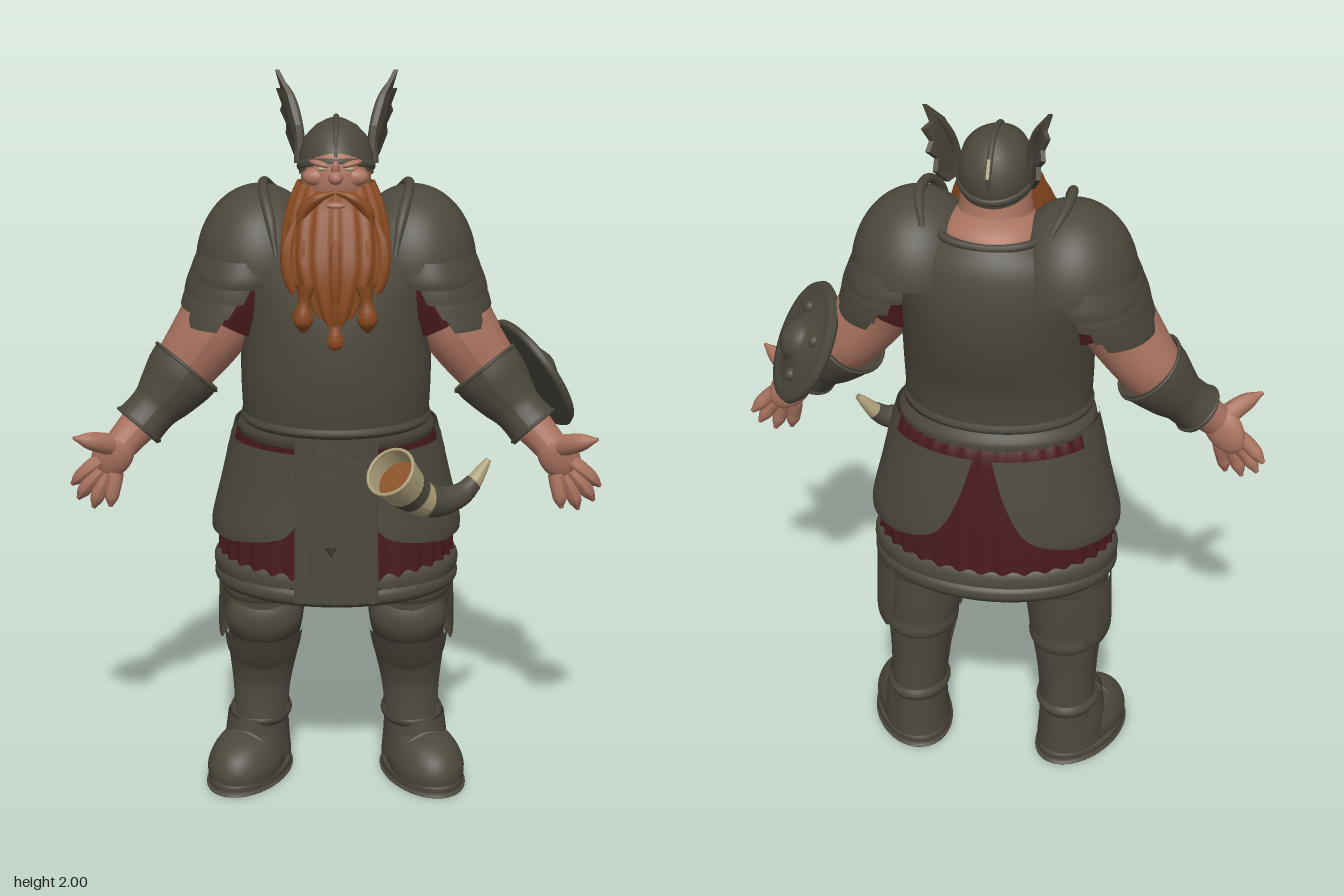
import * as THREE from 'three';

const mat = (name, color) => {
  const m = new THREE.MeshStandardMaterial({ color, side: THREE.DoubleSide });
  m.name = name;
  return m;
};
const V = (p) => new THREE.Vector3(...p);

export function createModel() {
  const armour = mat('armour grey', 0x4c483d), cloth = mat('dark red cloth', 0x491a1c);
  const skin = mat('skin', 0xaa7360), hair = mat('ginger hair', 0x86481f);
  const bone = mat('horn bone', 0xada07a), inner = mat('horn inside', 0x8a5128);
  const model = new THREE.Group();
  model.name = 'warrior';

  const add = (parent, name, geo, m) => {
    const mesh = new THREE.Mesh(geo, m);
    mesh.name = name;
    parent.add(mesh);
    return mesh;
  };

  // Smooth value between rows of numbers, u in 0..1
  const sample = (rows, u) => {
    const f = u * (rows.length - 1), i = Math.min(Math.floor(f), rows.length - 2), t = f - i;
    const row = (k) => rows[Math.max(0, Math.min(rows.length - 1, k))];
    return row(i).map((b, k) => {
      const a = row(i - 1)[k], c = row(i + 1)[k], d = row(i + 2)[k];
      return b + 0.5 * t * (c - a + t * (2 * a - 5 * b + 4 * c - d + t * (3 * (b - c) + d - a)));
    });
  };

  // Shell from oval rings, bottom to top: [y, rx, zFront, zBack, cx, angleStart, angleEnd]
  const loft = (rings, { ripple = 0, waves = 0, seg = 64, rows = 24 } = {}) => {
    const open = rings[0].length > 5, cols = open ? seg + 1 : seg, pos = [], idx = [];
    for (let i = 0; i <= rows; i++) {
      const [y, rx, zf, zb, cx = 0, t0 = 0, t1 = 2 * Math.PI] = sample(rings, i / rows);
      for (let j = 0; j < cols; j++) {
        const t = t0 + (t1 - t0) * j / seg, k = 1 + ripple * Math.cos(t * waves);
        pos.push(cx + Math.max(rx, 0) * k * Math.sin(t), y, (zf + zb) / 2 + (zf - zb) / 2 * k * Math.cos(t));
        if (i < rows && j < seg) {
          const a = i * cols + j, b = i * cols + (j + 1) % cols;
          idx.push(a, b, a + cols, b, b + cols, a + cols);
        }
      }
    }
    const g = new THREE.BufferGeometry();
    g.setAttribute('position', new THREE.Float32BufferAttribute(pos, 3));
    g.setIndex(idx);
    g.computeVertexNormals();
    return g;
  };

  // Tube along a smooth path with changing radius
  const sweep = (pts, radii, n = 24, m = 16) => {
    const curve = new THREE.CatmullRomCurve3(pts.map(V));
    const g = new THREE.TubeGeometry(curve, n, 1, m), p = g.attributes.position, v = new THREE.Vector3();
    const rr = radii.map((r) => [r]);
    for (let i = 0; i < p.count; i++) {
      const u = Math.floor(i / (m + 1)) / n, c = curve.getPointAt(u);
      v.fromBufferAttribute(p, i).sub(c).multiplyScalar(Math.max(sample(rr, u)[0], 0.0005)).add(c);
      p.setXYZ(i, v.x, v.y, v.z);
    }
    g.computeVertexNormals();
    return g;
  };

  const ball = (parent, name, m, at, size, rot = [0, 0, 0]) => {
    const mesh = add(parent, name, new THREE.SphereGeometry(1, 28, 18), m);
    mesh.position.set(...at);
    mesh.scale.set(...size);
    mesh.rotation.set(...rot);
    return mesh;
  };

  // Breastplate with lip
  add(model, 'breastplate', loft([[1.09, .25, .18, -.21], [1.2, .255, .195, -.225], [1.3, .255, .198, -.255],
    [1.4, .258, .19, -.275], [1.5, .268, .165, -.277], [1.59, .235, .125, -.258], [1.65, .155, .09, -.215]]), armour);
  add(model, 'breastplateLip', loft([[1.082, .25, .175, -.21], [1.095, .257, .187, -.217], [1.112, .252, .183, -.212]]), armour);
  add(model, 'backNeckline', sweep([[.15, 1.65, -.1], [.11, 1.645, -.19], [0, 1.64, -.22], [-.11, 1.645, -.19], [-.15, 1.65, -.1]],
    [.009, .01, .01, .01, .009], 32, 10), armour);

  // Skirt, hem, lining and front panel
  add(model, 'skirt', loft([[.625, .327, .172, -.29], [.8, .315, .16, -.275], [.9, .295, .152, -.262], [1.02, .272, .15, -.245],
    [1.08, .25, .16, -.215]], { ripple: .012, waves: 34, seg: 204 }), cloth);
  add(model, 'skirtHem', loft([[.6, .326, .17, -.293], [.615, .336, .181, -.303], [.635, .335, .181, -.302], [.65, .324, .17, -.288]]), armour);
  add(model, 'skirtLining', loft([[.61, .325, .17, -.292], [.7, .31, .15, -.27], [.72, 0, -.05, -.06]]), armour);
  add(model, 'waistBelt', loft([[1.045, .264, .163, -.236], [1.065, .267, .17, -.235], [1.09, .255, .17, -.22]]), armour);
  add(model, 'frontPanel', loft([[.615, .34, .187, -.3, 0, -.33, .35], [.85, .325, .18, -.28, 0, -.34, .36],
    [1.08, .28, .175, -.24, 0, -.4, .42]], { ripple: .012, waves: 40 }), armour);
  const strap = add(model, 'beltTail', new THREE.BoxGeometry(.04, .2, .012), armour);
  strap.position.set(-.01, .88, .182);
  const tip = add(model, 'beltTailTip', new THREE.CylinderGeometry(.02, .001, .03, 4), armour);
  tip.position.set(-.01, .766, .184);
  tip.scale.z = .4;
  const buckle = add(model, 'beltKnot', new THREE.BoxGeometry(.13, .05, .03), armour);
  buckle.position.set(0, 1.02, .176);
  buckle.rotation.z = -.45;

  // Neck and head
  ball(model, 'shoulderSkin', skin, [0, 1.62, -.09], [.145, .075, .125]);
  add(model, 'neck', loft([[1.58, .11, .02, -.18], [1.68, .095, .03, -.15], [1.78, .086, .03, -.13]]), skin);
  ball(model, 'head', skin, [0, 1.75, -.025], [.092, .12, .11]);
  ball(model, 'nose', skin, [0, 1.768, .088], [.02, .018, .022]);
  ball(model, 'noseBridge', skin, [0, 1.787, .08], [.012, .026, .014], [.3, 0, 0]);
  ball(model, 'lowerLip', skin, [0, 1.7, .108], [.026, .008, .012]);
  for (const s of [-1, 1]) {
    ball(model, 'cheek', skin, [s * .05, 1.762, .05], [.036, .024, .024]);
    ball(model, 'eye', bone, [s * .036, 1.789, .074], [.012, .006, .007]);
    ball(model, 'browRidge', skin, [s * .042, 1.802, .071], [.028, .008, .011], [0, s * .35, s * .2]);
    add(model, 'moustache', sweep([[s * .004, 1.732, .1], [s * .04, 1.722, .108], [s * .078, 1.69, .1], [s * .1, 1.63, .105]],
      [.006, .015, .016, .002], 20, 12), hair);
  }

  // Beard with locks and braids
  add(model, 'beard', loft([[1.35, .012, .17, .14], [1.39, .045, .19, .09], [1.45, .09, .198, .04], [1.54, .135, .187, 0],
    [1.62, .138, .155, -.05], [1.69, .122, .115, -.06], [1.74, .1, .06, -.06]], { ripple: .035, waves: 18, seg: 108 }), hair);
  for (let i = -3; i <= 3; i++) {
    const b = 1 - Math.abs(i) * .08;
    add(model, 'beardLock', sweep([[i * .033, 1.67, .115 * b], [i * .042, 1.58, .165 * b], [i * .036, 1.48, .188 * b],
      [i * .022, 1.4 + Math.abs(i) * .012, .185 * b]], [.004, .016, .016, .003], 20, 10), hair);
  }
  for (const [x, y, z] of [[-.083, 1.365, .17], [0, 1.305, .17], [.083, 1.365, .17]]) {
    add(model, 'beardBraid', sweep([[x * .9, y + .14, z], [x, y + .07, z + .01], [x, y + .035, z + .005], [x, y, z]],
      [.026, .016, .028, .001], 20, 12), hair);
    const ring = add(model, 'braidRing', new THREE.TorusGeometry(.017, .006, 8, 16), hair);
    ring.position.set(x, y + .07, z + .01);
    ring.rotation.x = Math.PI / 2;
  }

  // Helmet with rim and crest
  const helmet = new THREE.Group();
  helmet.name = 'helmet';
  helmet.position.set(0, 1.77, -.046);
  helmet.rotation.x = -.3;
  model.add(helmet);
  const dome = add(helmet, 'helmetDome', new THREE.LatheGeometry([[.098, -.02], [.098, .03], [.084, .075], [.054, .107], [.023, .123], [0, .13]]
    .map((p) => new THREE.Vector2(...p)), 40), armour);
  dome.scale.z = 1.2;
  const rim = add(helmet, 'helmetRim', new THREE.TorusGeometry(.098, .006, 10, 40), armour);
  rim.rotation.x = Math.PI / 2;
  rim.scale.set(1, 1.2, 1.8);
  add(helmet, 'helmetCrest', sweep([[0, .01, .118], [0, .085, .09], [0, .128, 0], [0, .085, -.09], [0, -.01, -.118]],
    [.005, .008, .008, .008, .005], 32, 10), armour);
  const stripe = add(helmet, 'helmetStripe', new THREE.BoxGeometry(.008, .05, .006), bone);
  stripe.position.set(0, .094, -.094);
  stripe.rotation.x = .8;

  // Everything that is mirrored
  const bands = (g, name, list) => list.forEach((r) => add(g, name, loft(r, { rows: 8 }), armour));
  for (const s of [1, -1]) {
    const g = new THREE.Group();
    g.name = s > 0 ? 'leftSide' : 'rightSide';
    g.scale.x = s;
    model.add(g);

    // Helmet wing: feathered outline in (z, y), leaning outward
    const outline = [[-.06, 1.77], [-.08, 1.87], [-.12, 1.945], [-.17, 2], [-.162, 1.95], [-.197, 1.945], [-.178, 1.905],
      [-.2, 1.885], [-.172, 1.855], [-.185, 1.825], [-.145, 1.78]].map((p) => new THREE.Vector2(...p));
    const wing = new THREE.ExtrudeGeometry(new THREE.Shape(outline), { depth: .012, bevelEnabled: false });
    wing.rotateY(-Math.PI / 2);
    const wp = wing.attributes.position;
    for (let i = 0; i < wp.count; i++) {
      const h = Math.max(0, (wp.getY(i) - 1.77) / .23);
      wp.setX(i, wp.getX(i) + .096 + .038 * h ** 1.5 + .42 * Math.max(0, -.1 - wp.getZ(i)));
    }
    wing.computeVertexNormals();
    add(g, 'helmetWing', wing, armour);
    add(g, 'wingQuill', sweep([[.096, 1.77, -.075], [.098, 1.86, -.095], [.12, 1.94, -.135], [.155, 1.99, -.168]], [.016, .012, .009, .002], 16, 8), armour);

    // Pauldron dome, collar and overlapping plates below
    const cap = new THREE.SphereGeometry(1, 40, 18, 0, 2 * Math.PI, 0, 1.5);
    cap.scale(.172, .212, .19);
    cap.translate(.203, 1.5, -.075);
    add(g, 'pauldron', cap, armour);
    bands(g, 'shoulderPlate', [
      [[1.475, .14, .125, -.262, .25, -.55, 3.45], [1.5, .138, .125, -.262, .247, -.55, 3.45], [1.545, .12, .108, -.25, .245, -.5, 3.45]],
      [[1.435, .143, .123, -.248, .263, -.15, 3.25], [1.46, .138, .12, -.248, .262, -.25, 3.3], [1.495, .128, .112, -.242, .258, -.35, 3.4]],
      [[1.395, .142, .118, -.228, .274, .05, 3.05], [1.42, .137, .114, -.23, .272, -.05, 3.1], [1.45, .128, .108, -.23, .268, -.15, 3.2]],
      [[1.355, .135, .108, -.198, .286, .2, 2.9], [1.38, .131, .105, -.203, .284, .1, 3], [1.41, .125, .1, -.207, .278, 0, 3.1]]]);
    add(g, 'pauldronCollar', sweep([[.155, 1.57, .115], [.172, 1.655, .07], [.19, 1.71, 0], [.192, 1.715, -.1], [.165, 1.675, -.19]],
      [.006, .014, .013, .013, .008], 28, 12), armour);

    // Arm, sleeve and bracer
    add(g, 'sleeve', sweep([[.2, 1.51, -.04], [.25, 1.43, -.03], [.287, 1.36, -.028]], [.125, .124, .115]), cloth);
    add(g, 'arm', sweep([[.26, 1.48, -.06], [.32, 1.35, -.025], [.41, 1.22, -.02], [.5, 1.11, .02], [.575, 1.03, .06]],
      [.105, .103, .088, .064, .046], 32, 20), skin);
    add(g, 'bracer', sweep([[.4, 1.225, -.022], [.46, 1.15, 0], [.535, 1.07, .035]], [.102, .099, .09, .08, .069, .068, .071], 28, 24), armour);
    for (const [c, r] of [[[.403, 1.221, -.021], .102], [[.53, 1.075, .033], .07]]) {
      const cuff = add(g, 'bracerCuff', new THREE.TorusGeometry(r, .005, 8, 28), armour);
      cuff.position.set(...c);
      cuff.quaternion.setFromUnitVectors(V([0, 0, 1]), V([.62, -.72, .28]).normalize());
    }

    // Hand with spread fingers
    ball(g, 'palm', skin, [.6, 1.0, .065], [.054, .078, .031], [.1, .25, .6]);
    [[[.63, .985, .065], [.675, .95, .064], [.715, .91, .05]], [[.63, .96, .068], [.666, .92, .07], [.698, .872, .06]],
      [[.615, .95, .068], [.638, .9, .075], [.656, .85, .07]], [[.595, .95, .065], [.603, .9, .076], [.61, .856, .078]]]
      .forEach((p) => add(g, 'finger', sweep(p, [.023, .023, .021, .018, .006], 14, 10), skin));
    add(g, 'thumb', sweep([[.6, 1.03, .07], [.637, 1.05, .105], [.695, 1.075, .145]], [.03, .028, .022, .005], 14, 10), skin);

    // Hip plates over the skirt, with a strap up to the belt
    add(g, 'hipPlate', loft([[.755, .342, .178, -.298, 0, 1, 2.35], [.795, .34, .178, -.298, 0, .42, 2.74], [.9, .315, .17, -.285, 0, .3, 2.93],
      [1.03, .286, .163, -.262, 0, .25, 3.05]]), armour);
    add(g, 'hipStrap', loft([[.98, .298, .168, -.272, 0, 1.3, 2.05], [1.07, .275, .167, -.25, 0, 1.3, 2.05]], { rows: 4 }), armour);

    // Leg, knee and thigh guards
    add(g, 'leg', loft([[.04, .085, 0, -.212, .215], [.15, .078, -.012, -.207, .215], [.28, .08, -.018, -.205, .21], [.38, .092, 0, -.208, .205],
      [.46, .105, .055, -.212, .2], [.56, .115, .085, -.213, .2], [.68, .115, .07, -.208, .19], [.85, .13, .05, -.2, .15]]), armour);
    bands(g, 'legBand', [
      [[.155, .078, -.01, -.205, .215], [.175, .088, .0, -.215, .215], [.195, .079, -.014, -.205, .213]],
      [[.375, .09, 0, -.206, .205], [.395, .102, .02, -.215, .205], [.425, .098, .02, -.212, .203]],
      [[.57, .115, .083, -.213, .2], [.595, .121, .093, -.218, .198], [.62, .115, .08, -.211, .196]]]);
    add(g, 'shinPlate', loft([[.17, .086, -.002, -.2, .214, -.9, .9], [.28, .088, -.01, -.205, .21, -1.2, 1.2],
      [.37, .1, .015, -.21, .205, -1.3, 1.3]]), armour);
    add(g, 'kneePlate', loft([[.345, .095, .015, -.2, .205, -.15, .15], [.38, .105, .035, -.2, .205, -1.1, 1.1],
      [.45, .113, .068, -.21, .203, -1.3, 1.3]]), armour);
    ball(g, 'kneeCap', armour, [.2, .515, .01], [.106, .092, .083]);
    add(g, 'thighGuard', loft([[.395, .105, .02, -.215, .215, 1.6, 2.3], [.425, .115, .03, -.222, .215, 1.2, 2.65],
      [.5, .118, .03, -.222, .212, 1.15, 2.7], [.6, .122, .03, -.222, .205, 1.15, 2.7]]), armour);

    // Boot turned outward
    const boot = new THREE.Group();
    boot.name = 'boot';
    boot.position.set(.245, 0, -.05);
    boot.rotation.y = .36;
    g.add(boot);
    const sole = (y, k) => [y, .104 * k, .175 * k, -.17 * k];
    add(boot, 'sole', loft([[0, 0, .005, 0], sole(0, .98), sole(.01, 1), sole(.028, 1), sole(.032, .93)], { rows: 16 }), armour);
    add(boot, 'toe', loft([[.02, .099, .17, -.11], [.06, .101, .17, -.11], [.1, .086, .148, -.1], [.13, .06, .1, -.08], [.148, 0, .02, -.02]]), armour);
    add(boot, 'heel', loft([[.02, .09, .06, -.165], [.1, .086, .06, -.16], [.18, .075, .05, -.14]]), armour);
    add(boot, 'toeSeam', sweep([[-.097, .035, .04], [-.07, .11, .05], [0, .143, .05], [.07, .11, .05], [.097, .035, .04]],
      [.006, .007, .007, .007, .006], 24, 8), armour);
  }

  // Round shield on the left forearm
  const shield = new THREE.Group();
  shield.name = 'shield';
  shield.position.set(.53, 1.205, -.035);
  shield.quaternion.setFromUnitVectors(V([0, 1, 0]), V([1, .6, -.5]).normalize());
  model.add(shield);
  add(shield, 'shieldDisc', new THREE.LatheGeometry([[0, -.012], [.163, -.016], [.172, -.005], [.166, .008], [.138, .012], [.13, .004],
    [.06, .024], [.055, .036], [.042, .052], [.02, .062], [0, .066]].map((p) => new THREE.Vector2(...p)), 48), armour);
  for (let i = 0; i < 4; i++) {
    const a = .6 + i * Math.PI / 2;
    ball(shield, 'shieldStud', armour, [Math.cos(a) * .095, .014, Math.sin(a) * .095], [.018, .015, .018]);
  }

  // Drinking horn at the belt, in alternating bands
  const path = new THREE.CatmullRomCurve3([[.145, 1.02, .25], [.195, .95, .195], [.26, .9, .15], [.345, .908, .1], [.412, .988, .06]].map(V));
  const radius = (u) => .008 + .057 * (1 - u) ** .8;
  [[0, .2, bone, .003], [.2, .31, armour, .003], [.31, .42, bone, 0], [.42, .82, armour, .002], [.82, 1, bone, 0]].forEach(([a, b, m, e]) => {
    const us = [0, 1, 2, 3, 4].map((i) => a + (b - a) * i / 4);
    add(model, 'hornBand', sweep(us.map((u) => path.getPointAt(u).toArray()), us.map((u) => radius(u) + e), 12, 24), m);
  });
  const mouth = add(model, 'hornInside', new THREE.CircleGeometry(.06, 24), inner);
  mouth.position.copy(path.getPointAt(.13));
  mouth.quaternion.setFromUnitVectors(V([0, 0, 1]), path.getTangentAt(.08).negate());
  const lip = add(model, 'hornLip', new THREE.TorusGeometry(.067, .005, 8, 28), bone);
  lip.position.copy(path.getPointAt(0));
  lip.quaternion.setFromUnitVectors(V([0, 0, 1]), path.getTangentAt(0).negate());
  return model;
}
